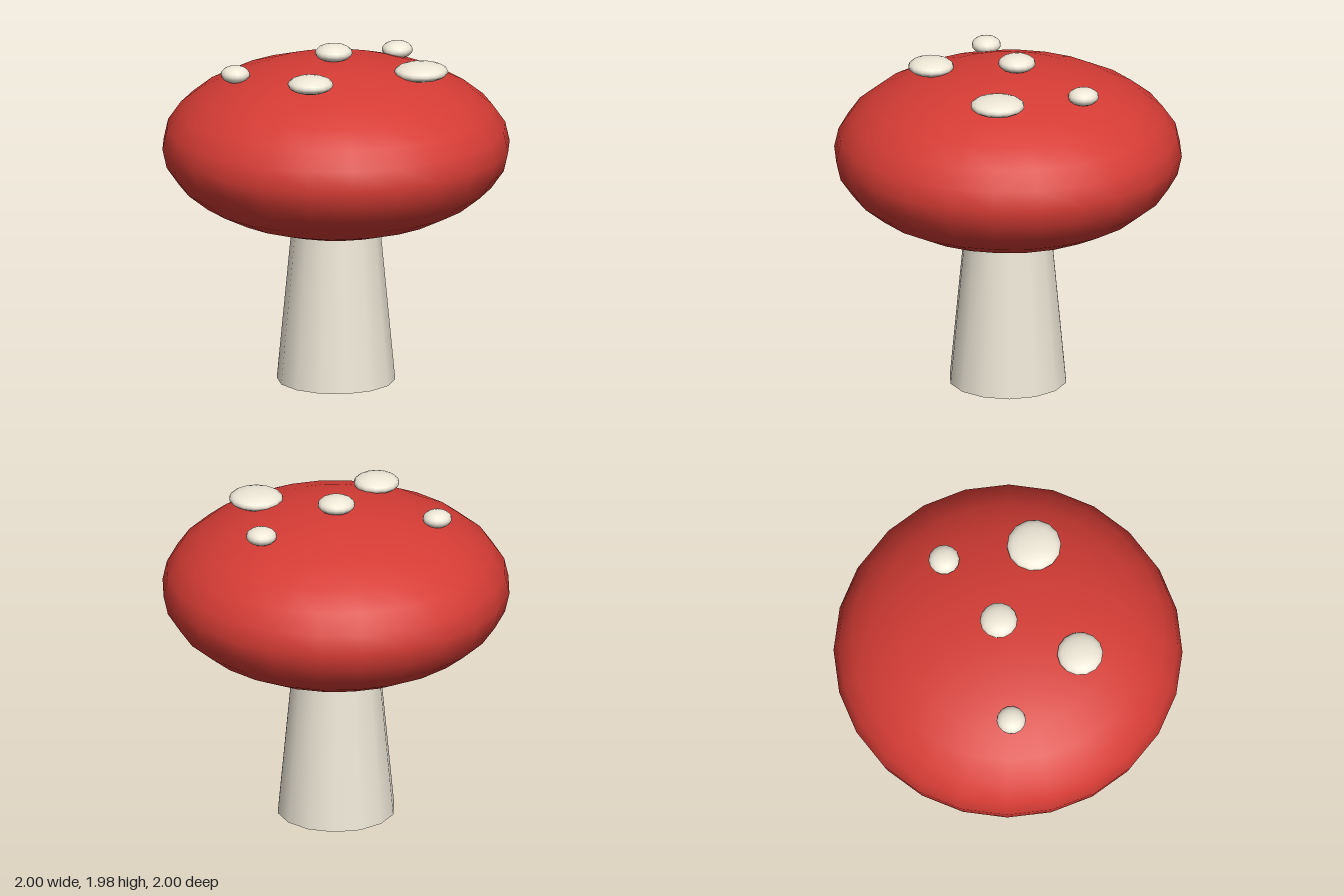
import * as THREE from 'three';

export function createModel() {
  const group = new THREE.Group();
  const red = new THREE.MeshStandardMaterial({ color: 0xd63c35 });
  const cream = new THREE.MeshStandardMaterial({ color: 0xefe8d8 });

  const add = (name, geometry, material, x, y, z) => {
    const mesh = new THREE.Mesh(geometry, material);
    mesh.name = name;
    mesh.position.set(x, y, z);
    group.add(mesh);
    return mesh;
  };

  // Tapered stem, its top hidden just inside the cap
  const stemHeight = 0.95;
  add('stem', new THREE.CylinderGeometry(0.25, 0.34, stemHeight, 14), cream, 0, stemHeight / 2, 0);

  // Flattened ellipsoid cap
  add('cap', new THREE.SphereGeometry(1, 24, 14).scale(1, 0.5, 1), red, 0, 1.39, 0);

  // Spots resting on the cap: x, y, z, radius
  const spots = [
    [0.02, 1.925, -0.05, 0.108],
    [0.34, 1.855, 0.365, 0.156],
    [-0.37, 1.87, 0.265, 0.132],
    [-0.515, 1.832, -0.272, 0.084],
    [0.522, 1.845, -0.125, 0.089],
  ];
  spots.forEach(([x, y, z, r], i) => {
    const geometry = new THREE.SphereGeometry(1, 14, 10).rotateY(Math.PI / 2).scale(r, 0.05, r);
    add(`spot${i + 1}`, geometry, cream, x, y, z);
  });

  return group;
}
